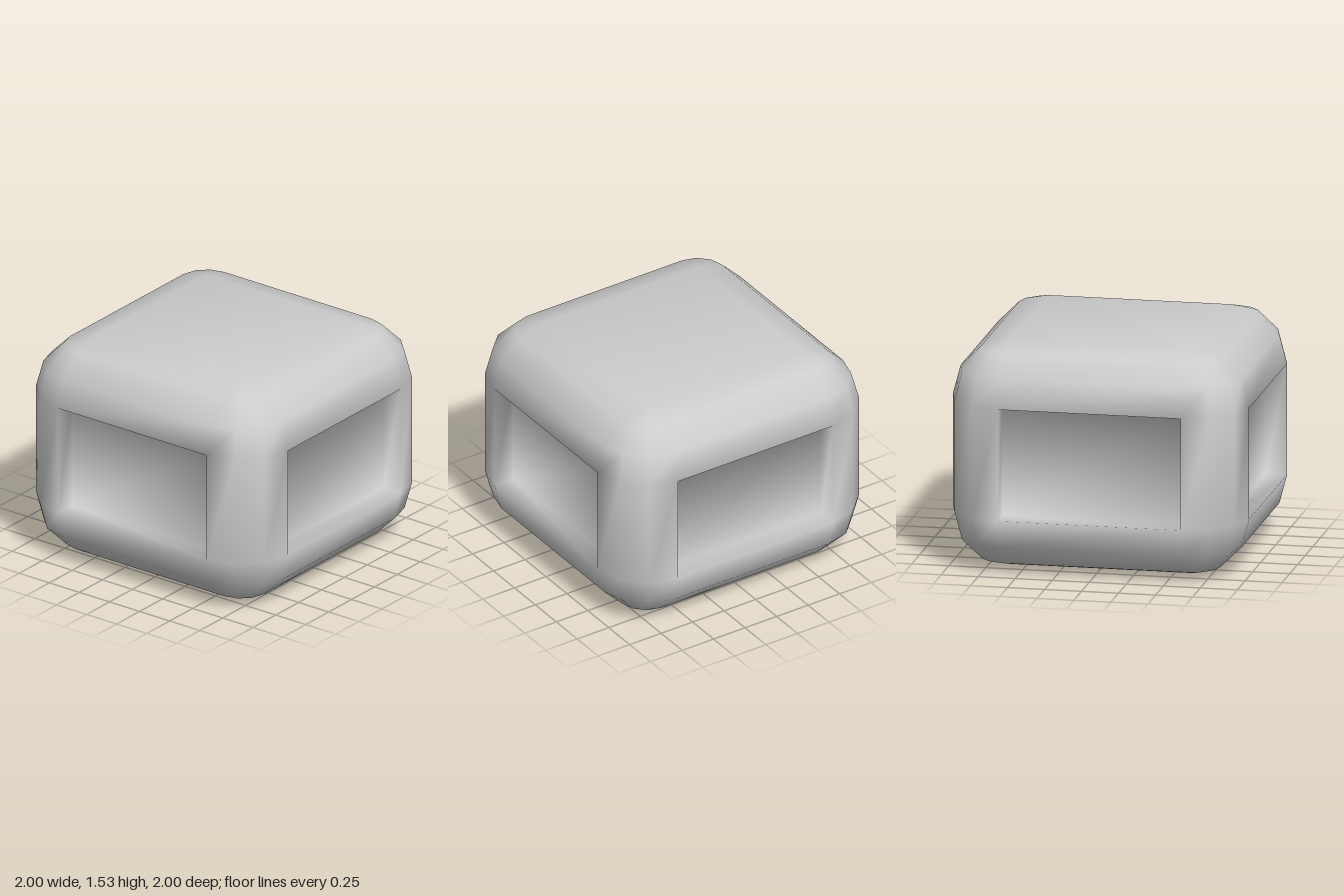
import * as THREE from 'three';

const R = 0.385;       // edge rounding
const HALF = 0.615;    // half width of the flat areas
const LOW = 0.385, HIGH = 1.145; // heights where the rounding ends
const DEPTH = 0.15;    // depth of the side recesses
const STEPS = 3;       // segments per rounded quarter

// Collects quads with welded corners and smooth, evenly averaged normals
function quadMesh(name) {
  const points = [], normals = [], index = [], lookup = new Map();
  const vertex = (p) => {
    const key = p.toArray().map((v) => Math.round(v * 1e4)).join();
    if (!lookup.has(key)) {
      lookup.set(key, points.length);
      points.push(p);
      normals.push(new THREE.Vector3());
    }
    return lookup.get(key);
  };
  const quad = (a, b, c, d) => {
    const n = c.clone().sub(a).cross(d.clone().sub(b)).normalize();
    const q = [a, b, c, d].map(vertex);
    new Set(q).forEach((i) => normals[i].add(n));
    for (const t of [[q[0], q[1], q[3]], [q[1], q[2], q[3]]]) {
      if (new Set(t).size === 3) index.push(...t);
    }
  };
  const build = () => {
    const g = new THREE.BufferGeometry().setFromPoints(points);
    const flat = normals.flatMap((n) => n.normalize().toArray());
    g.setAttribute('normal', new THREE.Float32BufferAttribute(flat, 3));
    g.setIndex(index);
    const mesh = new THREE.Mesh(g, new THREE.MeshStandardMaterial({ color: 0xcccccc }));
    mesh.name = name;
    return mesh;
  };
  return { quad, build };
}

// Horizontal rounded-square ring at one latitude of the rounding
function ring(latitude, centreY) {
  const out = [];
  const r = R * Math.cos(latitude), y = centreY + R * Math.sin(latitude);
  for (let k = 0; k < 4; k++) {
    const mid = (k + 0.5) * Math.PI / 2;
    const cx = HALF * Math.sign(Math.cos(mid)), cz = HALF * Math.sign(Math.sin(mid));
    for (let j = 0; j <= STEPS; j++) {
      const a = (k + j / STEPS) * Math.PI / 2;
      out.push(new THREE.Vector3(cx + r * Math.cos(a), y, cz + r * Math.sin(a)));
    }
  }
  return out;
}

export function createModel() {
  const group = new THREE.Group();
  group.name = 'recessedRoundedBlock';
  const block = quadMesh('roundedBlock');

  // Rings from the underside to the top
  const rings = [];
  for (let i = 0; i <= STEPS; i++) rings.push(ring((i / STEPS - 1) * Math.PI / 2, LOW));
  for (let i = 0; i <= STEPS; i++) rings.push(ring((i / STEPS) * Math.PI / 2, HIGH));

  const count = rings[0].length, per = STEPS + 1;
  for (let l = 0; l < rings.length - 1; l++) {
    for (let i = 0; i < count; i++) {
      const n = (i + 1) % count;
      const outer = [rings[l][i], rings[l + 1][i], rings[l + 1][n], rings[l][n]];
      if (l !== STEPS || i % per !== STEPS) {
        block.quad(...outer);
        continue;
      }
      // Recess in each flat side: four walls and a floor
      const a = ((i + 1) / per) * Math.PI / 2;
      const inward = new THREE.Vector3(-Math.cos(a), 0, -Math.sin(a)).multiplyScalar(DEPTH);
      const inner = outer.map((p) => p.clone().add(inward));
      for (let e = 0; e < 4; e++) {
        const f = (e + 1) % 4;
        block.quad(outer[e], outer[f], inner[f], inner[e]);
      }
      block.quad(...inner);
    }
  }

  // Flat underside and top
  const corners = [0, 1, 2, 3].map((k) => k * per);
  block.quad(...corners.map((c) => rings[0][c]));
  block.quad(...corners.reverse().map((c) => rings[rings.length - 1][c]));

  group.add(block.build());
  return group;
}
